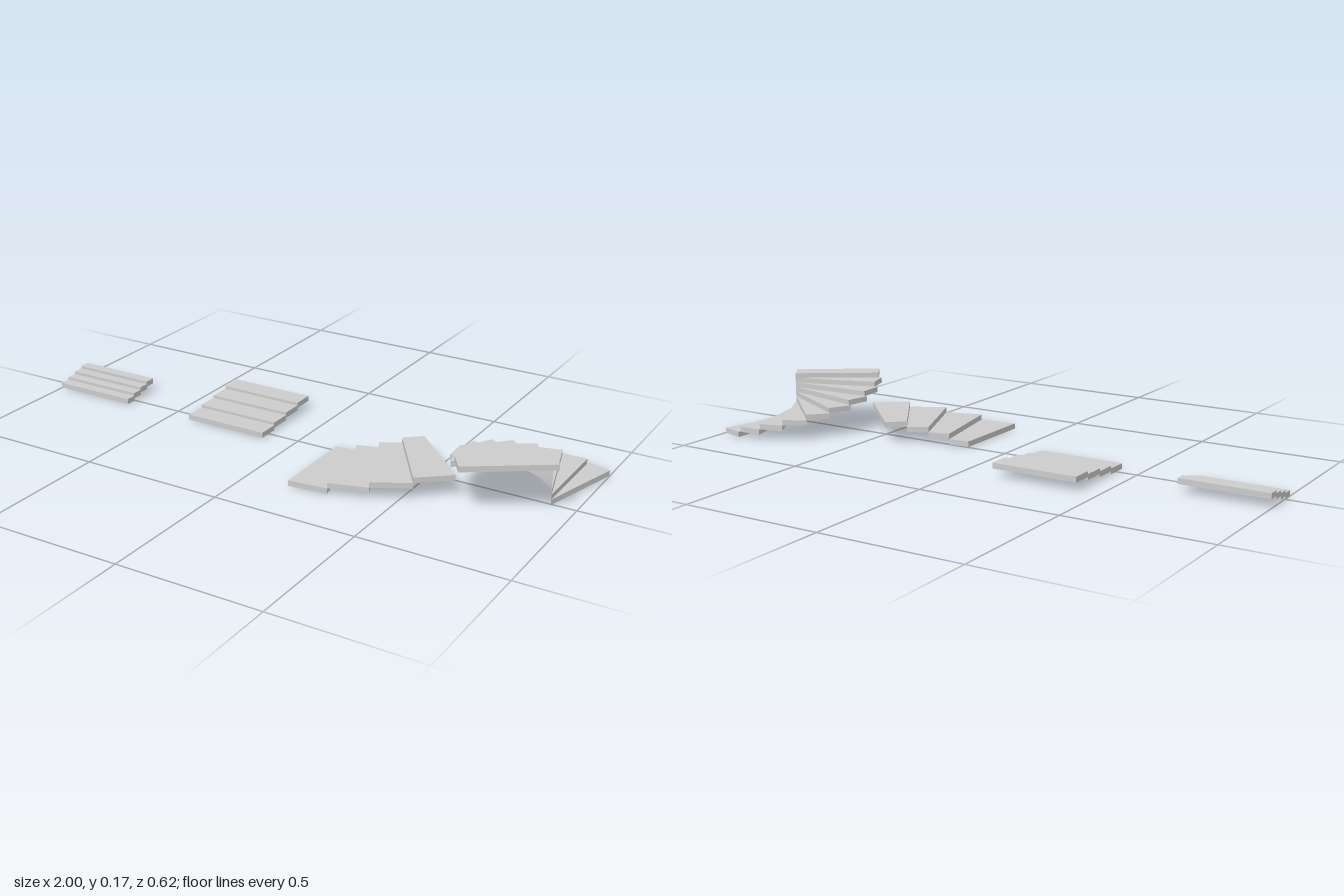
import * as THREE from 'three';

const material = new THREE.MeshStandardMaterial({ color: 0xcccccc, flatShading: true });
const W = 0.306;      // tread width
const D = W / 4;      // tread depth
const T = W / 16;     // tread thickness
const Z0 = 0.0055;    // common start line of the stairs

// Flat slab with the given [x, z] outline, its underside at height y
function slab(name, outline, y) {
  const shape = new THREE.Shape(outline.map(([x, z]) => new THREE.Vector2(x, -z)));
  const geometry = new THREE.ExtrudeGeometry(shape, { depth: T, bevelEnabled: false });
  geometry.rotateX(-Math.PI / 2);
  const mesh = new THREE.Mesh(geometry, material);
  mesh.name = name;
  mesh.position.y = y;
  return mesh;
}

// Four straight treads that climb towards the back
function straightStair(name, x, depth) {
  const group = new THREE.Group();
  group.name = name;
  for (let i = 0; i < 4; i++) {
    const tread = new THREE.Mesh(new THREE.BoxGeometry(W, T, depth), material);
    tread.name = 'tread';
    tread.position.set(x, T / 2 + i * T / 2, 0.041 - (i + 0.5) * depth);
    group.add(tread);
  }
  return group;
}

// Four tapered treads sweeping an eighth of a circle
function curvedStair() {
  const group = new THREE.Group();
  group.name = 'curvedStair';
  const inner = 5 * D, outer = inner + W, step = Math.PI / 16;
  const at = (r, a) => [0.153 + r * Math.sin(a), Z0 - inner + r * Math.cos(a)];
  for (let i = 0; i < 4; i++) {
    const a = i * step, b = a + step;
    group.add(slab('taperedTread', [at(inner, a), at(outer, a), at(outer, b), at(inner, b)], i * T));
  }
  return group;
}

// Nine winder treads around one corner, ending in a rectangular top tread
function spiralStair() {
  const group = new THREE.Group();
  group.name = 'spiralStair';
  const cx = 0.917, step = THREE.MathUtils.degToRad(15.5), rise = 0.0172;
  const at = (r, a) => [cx - r * Math.sin(a), Z0 - r * Math.cos(a)];
  for (let i = 0; i < 9; i++) {
    const a = (i - 1) * step;
    group.add(slab('winderTread', [at(0, 0), at(W, a), at(W / Math.cos(step), a + step)], i * rise));
  }
  const a = 8 * step, start = at(W, a), side = at(D, a + Math.PI / 2);
  const far = [start[0] + side[0] - cx, start[1] + side[1] - Z0];
  group.add(slab('topTread', [at(0, 0), start, far, side], 9 * rise));
  return group;
}

export function createModel() {
  const model = new THREE.Group();
  model.name = 'stairSet';
  model.add(
    straightStair('shallowStair', -0.847, D / 2),
    straightStair('deepStair', -0.271, D),
    curvedStair(),
    spiralStair()
  );
  return model;
}
